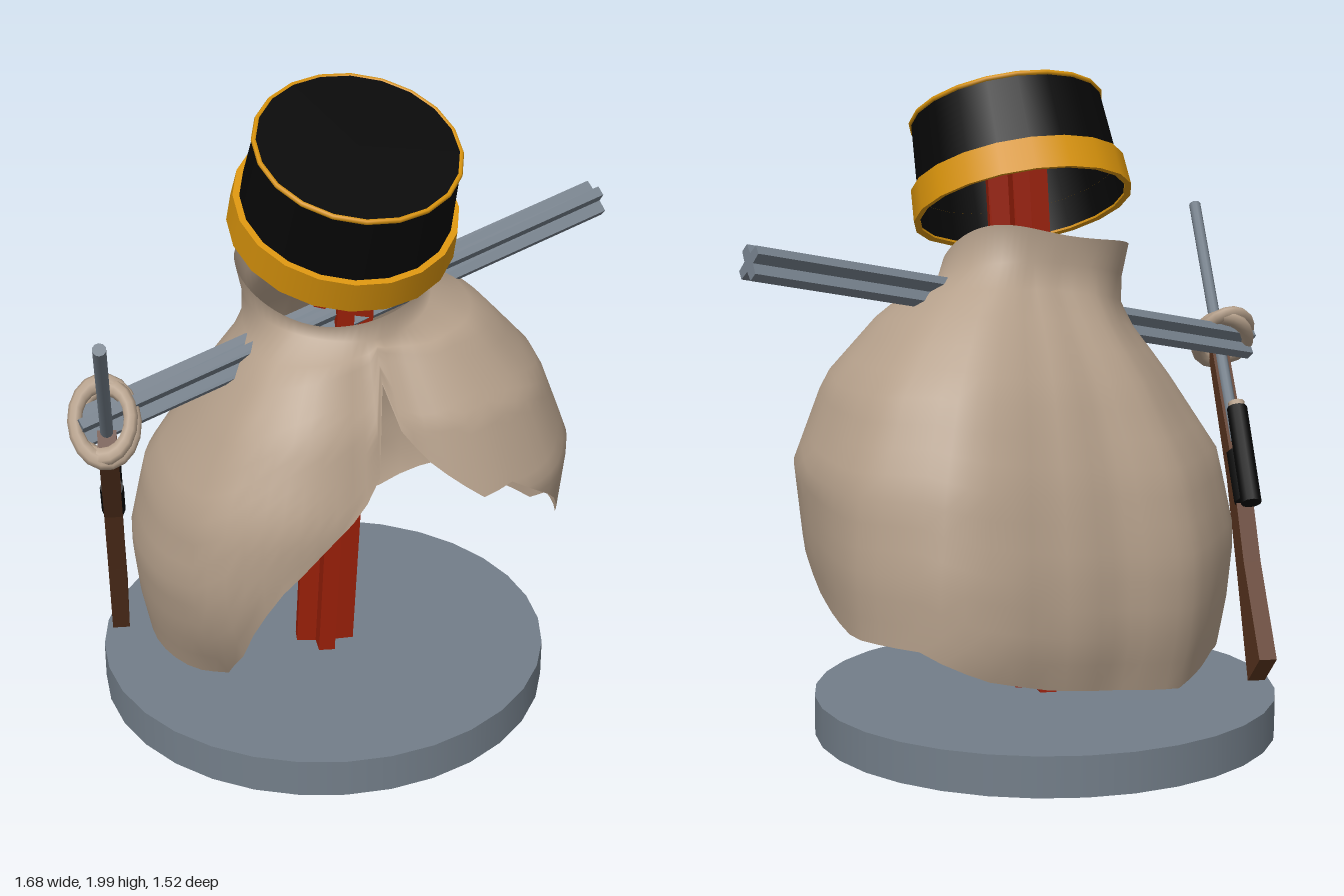
import * as THREE from 'three';

const mat = (name, color, side = THREE.FrontSide) => {
  const m = new THREE.MeshStandardMaterial({ color, side });
  m.name = name;
  return m;
};

// Piecewise-linear lookup in a list of [key, value] pairs with rising keys
function lookup(table, k) {
  if (k <= table[0][0]) return table[0][1];
  for (let i = 1; i < table.length; i++) {
    const [k0, v0] = table[i - 1], [k1, v1] = table[i];
    if (k <= k1) return v0 + ((v1 - v0) * (k - k0)) / (k1 - k0);
  }
  return table[table.length - 1][1];
}

// Widest outline of the cloak: radius every 22.5 degrees, from the front towards +x
const OUTLINE = [.49, .48, .57, .645, .675, .7, .76, .735, .605, .565, .635, .645, .69, .69, .68, .6];

// Fraction of that outline by height, on the front, left, back and right
const LEVELS = [.22, .4, .6, .85, 1.1, 1.28, 1.4];
const PROFILES = [
  [.5, .82, .96, 1, .84, .6, .5],
  [.85, .9, .96, 1, .86, .62, .38],
  [.95, 1.03, 1.02, .93, .76, .55, .37],
  [.91, .96, .99, .91, .67, .47, .46],
].map(p => p.map((v, i) => [LEVELS[i], v]));

// Hem height by angle; the short columns form the front opening
const HEM = [
  [0, .9], [5, .97], [10, 1.21], [15, 1.09], [25, .99], [40, .87], [50, .89], [68, .76], [84, .6],
  [100, .57], [110, .49], [130, .42], [150, .41], [165, .32], [180, .27], [200, .24],
  [225, .21], [250, .26], [270, .25], [298, .23], [310, .26], [320, .38], [327, .52],
  [335, .65], [348, .8], [360, .9],
];

function quadrantBlend(values, deg) {
  const q = Math.floor(deg / 90) % 4, a = ((deg % 90) * Math.PI) / 180;
  return values[q] * Math.cos(a) ** 2 + values[(q + 1) % 4] * Math.sin(a) ** 2;
}

function cloakRadius(deg, y) {
  const s = deg / 22.5, i = Math.floor(s), f = s - i;
  const r = OUTLINE[i % 16] * (1 - f) + OUTLINE[(i + 1) % 16] * f;
  return r * quadrantBlend(PROFILES.map(p => lookup(p, y)), deg);
}

// Cloak: columns from the collar down to the uneven hem
function cloakGeometry() {
  const cols = 72, rows = 16, pos = [], index = [];
  for (let j = 0; j <= rows; j++) {
    for (let i = 0; i < cols; i++) {
      const deg = (i * 360) / cols, a = (deg * Math.PI) / 180, c = Math.cos(a);
      const neckY = 1.38 - .07 * c;
      let y, r;
      if (j === 0) {
        y = 1.46 - .09 * c + .015 * Math.sin(3 * a);
        r = quadrantBlend([.26, .22, .23, .34], deg);
      } else if (j === 1) {
        y = neckY;
        r = quadrantBlend([.25, .24, .22, .32], deg);
      } else {
        y = neckY + ((lookup(HEM, deg) - neckY) * (j - 1)) / (rows - 1);
        r = Math.max(cloakRadius(deg, y), quadrantBlend([.25, .24, .22, .31], deg));
      }
      pos.push(r * Math.sin(a), y, r * c);
      if (j < rows) {
        const n = (i + 1) % cols, p = j * cols;
        index.push(p + i, p + cols + i, p + n, p + n, p + cols + i, p + cols + n);
      }
    }
  }
  const g = new THREE.BufferGeometry();
  g.setAttribute('position', new THREE.Float32BufferAttribute(pos, 3));
  g.setIndex(index);
  g.computeVertexNormals();
  return g;
}

// Cross-section girder between two points; roll turns its four arms
function girder(from, to, radius, roll, up, material) {
  const tip = radius * .28, root = radius * .34, pts = [];
  for (let k = 0; k < 4; k++) {
    const a = roll + (k * Math.PI) / 2, o = new THREE.Vector2();
    for (const [x, y] of [[radius, -tip], [radius, tip], [root, root]])
      pts.push(new THREE.Vector2(x, y).rotateAround(o, a));
  }
  const m = new THREE.Mesh(new THREE.ExtrudeGeometry(new THREE.Shape(pts),
    { depth: from.distanceTo(to), bevelEnabled: false }), material);
  m.position.copy(from);
  m.up.copy(up);
  m.lookAt(to);
  return m;
}

// Round rod between two points
function rod(from, to, radius, material, sides = 10) {
  const m = new THREE.Mesh(
    new THREE.CylinderGeometry(radius, radius, from.distanceTo(to), sides), material);
  m.position.copy(from).add(to).multiplyScalar(.5);
  m.quaternion.setFromUnitVectors(new THREE.Vector3(0, 1, 0), to.clone().sub(from).normalize());
  return m;
}

export function createModel() {
  const V = (x, y, z) => new THREE.Vector3(x, y, z);
  const steel = mat('steel grey', 0x737e89);
  const red = mat('rust red', 0x981f08);
  const cloth = mat('tan cloth', 0xb5a08b, THREE.DoubleSide);
  const black = mat('black', 0x070707, THREE.DoubleSide);
  const gold = mat('gold', 0xd8930c, THREE.DoubleSide);
  const wood = mat('brown wood', 0x5c3620);

  const model = new THREE.Group();
  const add = (name, mesh, parent = model) => {
    mesh.name = name;
    parent.add(mesh);
    return mesh;
  };

  // Stand
  add('base', new THREE.Mesh(new THREE.CylinderGeometry(.705, .705, .12, 32), steel))
    .position.set(-.08, .07, -.055);
  add('post', girder(V(-.08, .12, -.035), V(0, 1.73, .01), .09, 0, V(0, 0, 1), red));
  add('crossbar',
    girder(V(-.81, 1.13, .365), V(.81, 1.47, -.375), .055, Math.PI / 4, V(0, 1, 0), steel));

  add('cloak', new THREE.Mesh(cloakGeometry(), cloth));

  // Tilted hat, open underneath
  const hat = add('hat', new THREE.Group());
  hat.position.set(-.03, 1.59, .055);
  hat.quaternion.setFromUnitVectors(V(0, 1, 0), V(.035, .29, .125).normalize());
  const lathe = (pts, m) =>
    new THREE.Mesh(new THREE.LatheGeometry(pts.map(p => new THREE.Vector2(...p)), 20), m);
  add('hatSide', lathe([[.315, .01], [.293, .318]], black), hat);
  const top = add('hatTop', new THREE.Mesh(new THREE.CircleGeometry(.293, 20), black), hat);
  top.rotation.x = -Math.PI / 2;
  top.position.y = .318;
  add('hatBand', lathe([[.335, 0], [.328, .1]], gold), hat);
  add('hatBandLedge', lathe([[.328, .1], [.308, .1]], gold), hat);
  add('hatBandUnderside', lathe([[.315, .003], [.335, 0]], gold), hat);
  const trim = add('hatTrim', new THREE.Mesh(new THREE.TorusGeometry(.293, .008, 6, 20), gold), hat);
  trim.rotation.x = Math.PI / 2;
  trim.position.y = .313;

  // Rifle leaning beside the cloak
  const rifle = add('rifle', new THREE.Group());
  rifle.position.x = -.73;
  const stockShape = new THREE.Shape([
    [.43, 1.1], [.395, 1.14], [.1, .78], [-.06, .5], [-.26, .24], [-.13, .14], [.02, .45], [.16, .72],
  ].map(p => new THREE.Vector2(...p)));
  const stock = new THREE.ExtrudeGeometry(stockShape, { depth: .054, bevelEnabled: false });
  stock.rotateY(-Math.PI / 2).translate(.027, 0, 0);
  add('stock', new THREE.Mesh(stock, wood), rifle);
  add('barrel', rod(V(0, .84, .152), V(0, 1.56, .745), .019, steel), rifle);
  add('receiver', rod(V(0, .67, .03), V(0, .81, .135), .036, black, 8), rifle);
  add('scope', rod(V(0, .68, -.04), V(0, .95, .15), .032, black), rifle);
  add('scopeTip', rod(V(0, .95, .15), V(0, .965, .161), .026, cloth), rifle);

  // Cloth tie holding the barrel to the crossbar
  const tie = add('clothTie', new THREE.Group());
  tie.position.set(-.735, 1.15, .36);
  [[-.75, .15, .085], [-.85, -.3, .078]].forEach(([rx, ry, r], i) => {
    const loop = add('tieLoop' + (i + 1),
      new THREE.Mesh(new THREE.TorusGeometry(r, .021, 8, 18), cloth), tie);
    loop.rotation.set(rx, ry, 0);
    loop.scale.y = 1.35;
  });

  return model;
}
